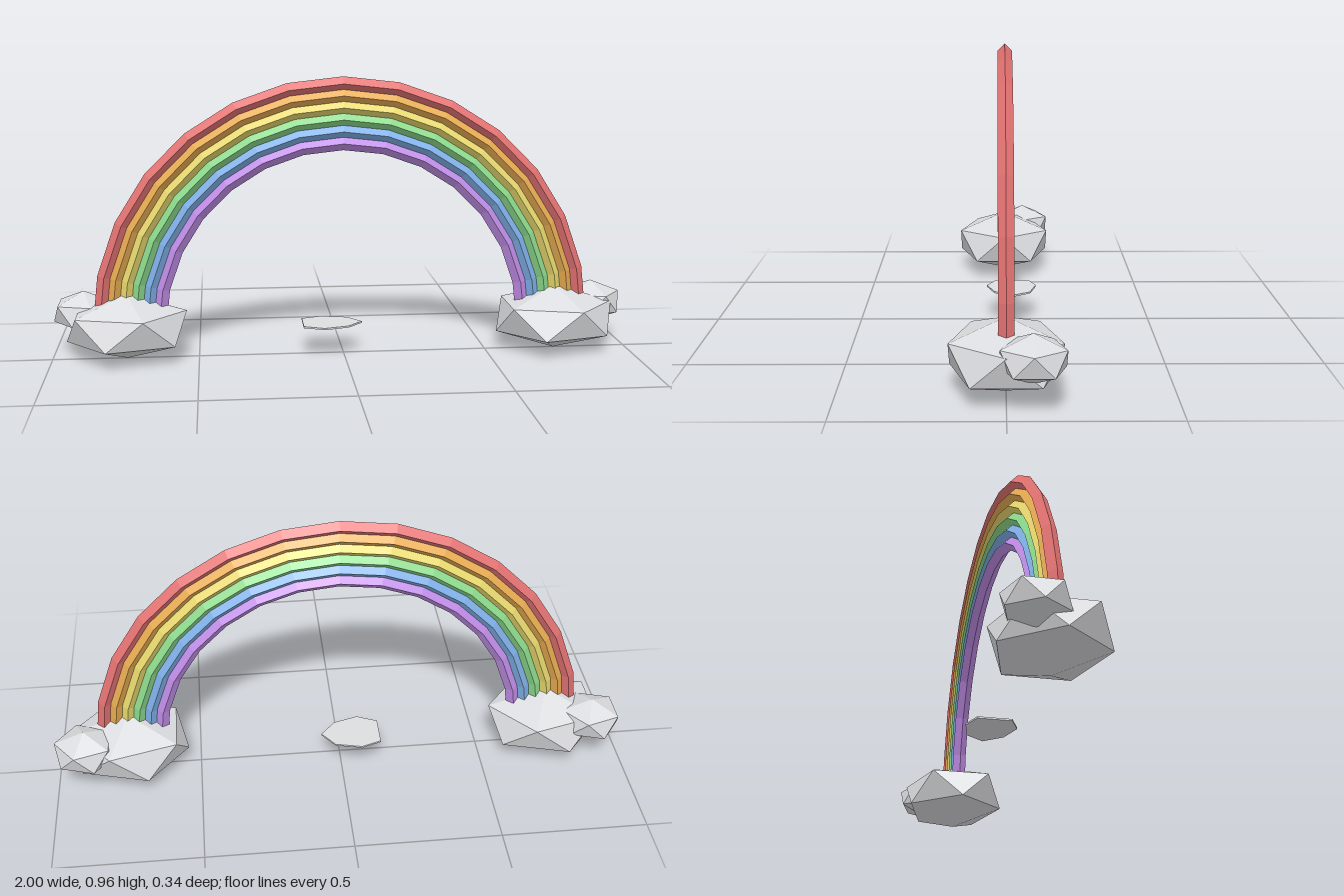
import * as THREE from 'three';

const flat = (name, color) => {
  const m = new THREE.MeshStandardMaterial({ color, flatShading: true });
  m.name = name;
  return m;
};

// Twenty-sided puff with a vertex at the top and bottom, squashed to the given radii
function puff(name, material, [x, y, z], [rx, ry, rz]) {
  const g = new THREE.IcosahedronGeometry(1, 0);
  g.rotateZ(Math.atan(2 / (1 + Math.sqrt(5))));
  g.rotateY(Math.PI);
  g.scale(rx, ry, rz);
  g.computeVertexNormals();
  const mesh = new THREE.Mesh(g, material);
  mesh.name = name;
  mesh.position.set(x, y, z);
  return mesh;
}

export function createModel() {
  const model = new THREE.Group();
  model.name = 'rainbow';

  // Arch of six diamond-section bands, outermost first
  const bands = [
    ['red', 0xe57373], ['orange', 0xe8ac52], ['yellow', 0xe8d96e],
    ['green', 0x8cd98c], ['blue', 0x80b0e8], ['purple', 0xbf8ce6],
  ];
  const tube = 0.024;
  bands.forEach(([name, color], i) => {
    const radius = 0.838 - i * 0.0405;
    const band = new THREE.Mesh(
      new THREE.TorusGeometry(radius, tube, 4, 14, Math.PI), flat(name, color));
    band.name = name + 'Band';
    band.position.y = 0.1;
    model.add(band);
  });

  // A large and a small cloud puff at each foot
  const cloud = flat('cloudGrey', 0xdcdde0);
  for (const [side, s] of [['left', 1], ['right', -1]]) {
    model.add(puff(side + 'Cloud', cloud, [s * 0.745, 0.114, 0], [0.229, 0.113, 0.199]));
    model.add(puff(side + 'SmallCloud', cloud, [s * 0.896, 0.149, -0.077], [0.116, 0.074, 0.113]));
  }

  // Thin floating wisp between the feet
  const outline = [[-0.14, -0.085], [-0.07, -0.11], [0.022, -0.088], [0.067, -0.025],
    [0.015, 0.036], [-0.07, 0.062], [-0.14, 0.03]];
  const shape = new THREE.Shape(outline.map(([x, z]) => new THREE.Vector2(x, -z)));
  const wispGeometry = new THREE.ExtrudeGeometry(shape, { depth: 0.006, bevelEnabled: false });
  wispGeometry.rotateX(-Math.PI / 2);
  const wisp = new THREE.Mesh(wispGeometry, cloud);
  wisp.name = 'wisp';
  wisp.position.y = 0.098;
  model.add(wisp);

  return model;
}
